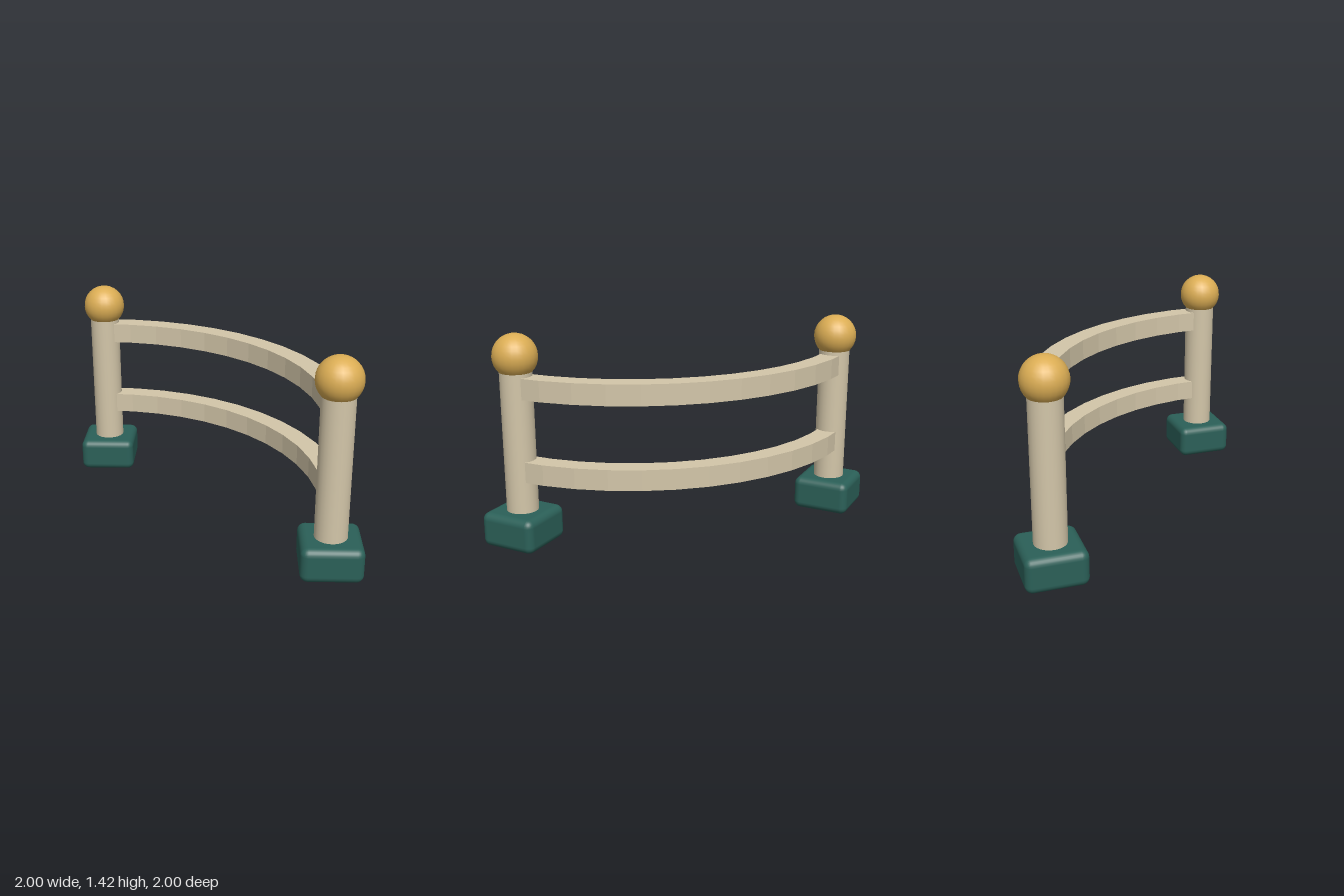
import * as THREE from 'three';
import { RoundedBoxGeometry } from 'three/addons/geometries/RoundedBoxGeometry.js';

function material(name, color) {
  const m = new THREE.MeshStandardMaterial({ color });
  m.name = name;
  return m;
}

export function createModel() {
  const model = new THREE.Group();
  model.name = 'curvedRailing';
  const wood = material('paleWood', 0xd3c6a9);
  const gold = material('gold', 0xdbad54);
  const green = material('darkGreen', 0x2b6058);

  function add(parent, name, geometry, mat, y) {
    const mesh = new THREE.Mesh(geometry, mat);
    mesh.name = name;
    mesh.position.y = y;
    parent.add(mesh);
    return mesh;
  }

  // Two end posts, each with a rounded foot and a ball finial
  function addPost(name, x, z) {
    const post = new THREE.Group();
    post.name = name;
    post.position.set(x, 0, z);
    add(post, 'foot', new RoundedBoxGeometry(0.4, 0.235, 0.4, 3, 0.05), green, 0.1225);
    add(post, 'shaft', new THREE.CylinderGeometry(0.107, 0.107, 1.06, 24), wood, 0.7);
    add(post, 'ball', new THREE.SphereGeometry(0.148, 24, 16), gold, 1.282);
    model.add(post);
  }
  addPost('backPost', -0.8, -0.8);
  addPost('frontPost', 0.8, 0.8);

  // Quarter-circle rails in twelve straight facets, ending inside the posts
  const radius = 1.6, half = 0.07;
  const arc = new THREE.Shape();
  arc.absarc(0, 0, radius + half, 0, Math.PI / 2, false);
  arc.absarc(0, 0, radius - half, Math.PI / 2, 0, true);
  const railGeometry = new THREE.ExtrudeGeometry(arc, {
    depth: 2 * half, bevelEnabled: false, curveSegments: 6,
  });
  railGeometry.rotateX(-Math.PI / 2).translate(-0.8, 0, 0.8);
  add(model, 'lowerRail', railGeometry, wood, 0.455);
  add(model, 'upperRail', railGeometry, wood, 1.015);

  return model;
}
